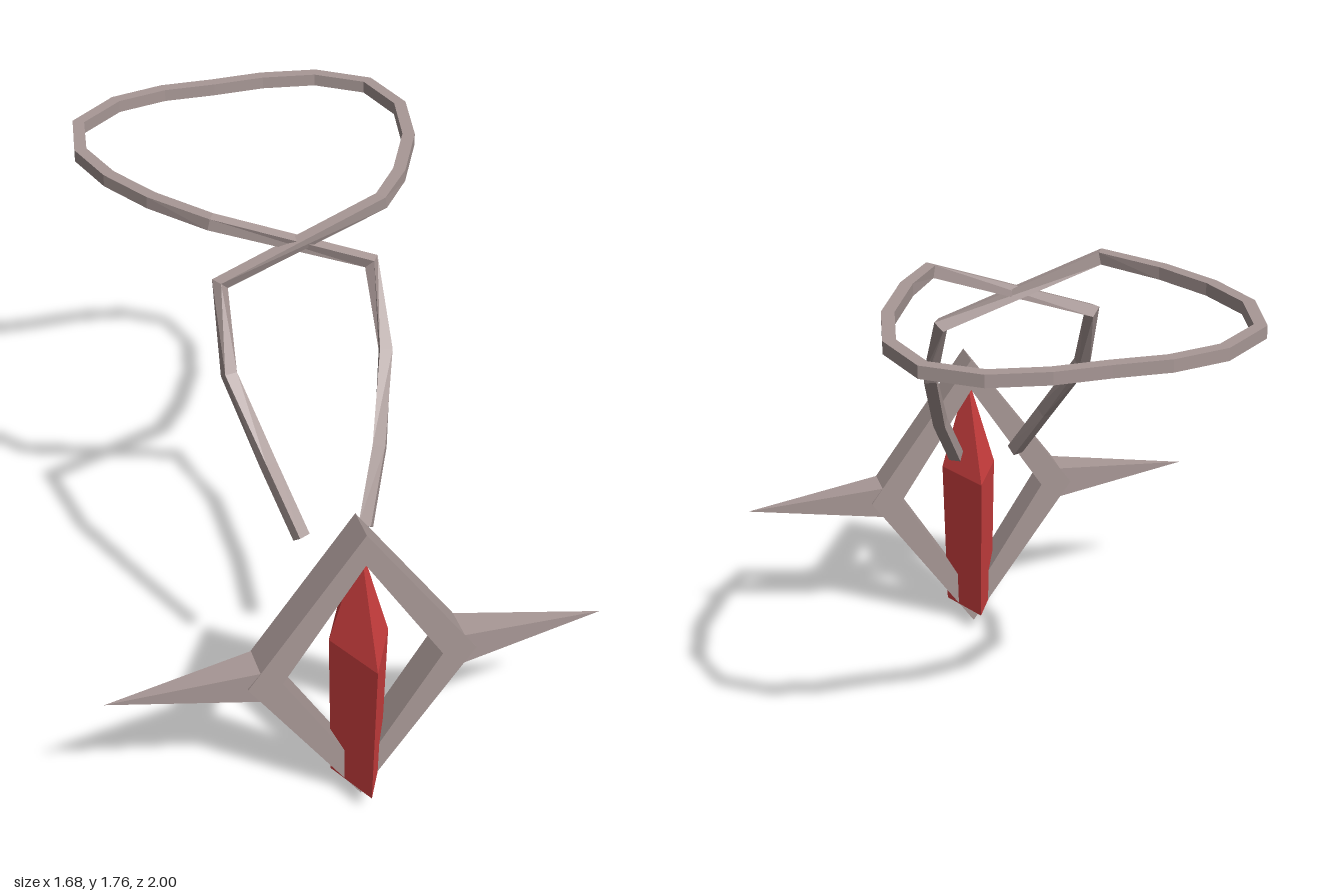
import * as THREE from 'three';

const steel = new THREE.MeshStandardMaterial({ color: 0xa89896 });
steel.name = 'warm grey metal';
const ruby = new THREE.MeshStandardMaterial({ color: 0xd04040 });
ruby.name = 'red crystal';

// Faceted copy of a geometry
function faceted(geometry) {
  const g = geometry.index ? geometry.toNonIndexed() : geometry;
  g.computeVertexNormals();
  return g;
}

function part(name, geometry, material, parent) {
  const mesh = new THREE.Mesh(faceted(geometry), material);
  mesh.name = name;
  parent.add(mesh);
  return mesh;
}

// Square bar swept along a polyline, with mitred joints and capped ends
function squareBar(path, half) {
  const up = new THREE.Vector3(0, 1, 0);
  const pos = [], idx = [], last = path.length - 1;
  path.forEach((p, i) => {
    const before = p.clone().sub(path[Math.max(i - 1, 0)]).normalize();
    const after = path[Math.min(i + 1, last)].clone().sub(p).normalize();
    const t = before.add(after).normalize();
    const s = t.clone().cross(up).normalize();
    const n = s.clone().cross(t);
    for (const [a, b] of [[1, 1], [1, -1], [-1, -1], [-1, 1]]) {
      const v = p.clone().addScaledVector(s, a * half).addScaledVector(n, b * half);
      pos.push(v.x, v.y, v.z);
    }
    if (i === last) return;
    for (let k = 0; k < 4; k++) {
      const a = i * 4 + k, b = i * 4 + (k + 1) % 4;
      idx.push(a, b, b + 4, a, b + 4, a + 4);
    }
  });
  const e = last * 4;
  idx.push(0, 2, 1, 0, 3, 2, e, e + 1, e + 2, e, e + 2, e + 3);
  const g = new THREE.BufferGeometry();
  g.setAttribute('position', new THREE.Float32BufferAttribute(pos, 3));
  g.setIndex(idx);
  return g;
}

// Diamond outline from top, side and bottom
function diamond(target, top, side, mid, bottom) {
  target.moveTo(0, top);
  target.lineTo(-side, mid);
  target.lineTo(0, bottom);
  target.lineTo(side, mid);
  target.closePath();
  return target;
}

export function createModel() {
  const model = new THREE.Group();
  model.name = 'crystalNecklace';

  const pendant = new THREE.Group();
  pendant.name = 'pendant';
  pendant.position.z = 0.796;
  model.add(pendant);

  // Open diamond frame
  const outline = diamond(new THREE.Shape(), 1.083, 0.385, 0.545, 0);
  outline.holes.push(diamond(new THREE.Path(), 0.965, 0.27, 0.545, 0.11));
  const frame = new THREE.ExtrudeGeometry(outline, { depth: 0.12, bevelEnabled: false });
  frame.translate(0, 0, -0.06);
  part('diamondFrame', frame, steel, pendant);

  // Square spikes on both sides
  for (const side of [1, -1]) {
    const spike = new THREE.ConeGeometry(0.06 * Math.SQRT2, 0.51, 4);
    spike.rotateY(Math.PI / 4);
    spike.rotateZ(-side * Math.PI / 2);
    spike.translate(side * 0.585, 0.545, 0);
    part(side > 0 ? 'leftSpike' : 'rightSpike', spike, steel, pendant);
  }

  // Four-sided crystal, deeper than it is wide
  const profile = [[0, 0.08], [0.875, 0.08], [1, 0.64], [0, 1.0]];
  const crystal = new THREE.LatheGeometry(profile.map(([r, y]) => new THREE.Vector2(r, y)), 4);
  crystal.scale(0.1, 1, 0.202);
  part('crystal', crystal, ruby, pendant);

  // Cord: right strand up, across, round the neck, across again, left strand down
  const neck = [
    [0.32, -0.03], [0.43, -0.18], [0.54, -0.41], [0.585, -0.64], [0.53, -0.84],
    [0.37, -0.95], [0.18, -0.98], [0, -0.975], [-0.18, -0.98], [-0.36, -0.94],
    [-0.52, -0.81], [-0.555, -0.61], [-0.5, -0.42], [-0.4, -0.24], [-0.25, -0.05],
  ];
  const points = [
    [-0.1, 0.825, 0.485], [-0.17, 1.03, 0.34], [-0.25, 1.28, 0.155], [-0.235, 1.53, 0],
    ...neck.map(([x, z]) => [x, 1.735, z]),
    [0.28, 1.53, 0], [0.285, 1.28, 0.155], [0.21, 1.03, 0.34], [0.12, 0.825, 0.485],
  ];
  const path = points.map((p) => new THREE.Vector3(...p));
  part('neckCord', squareBar(path, 0.021), steel, model);

  return model;
}
